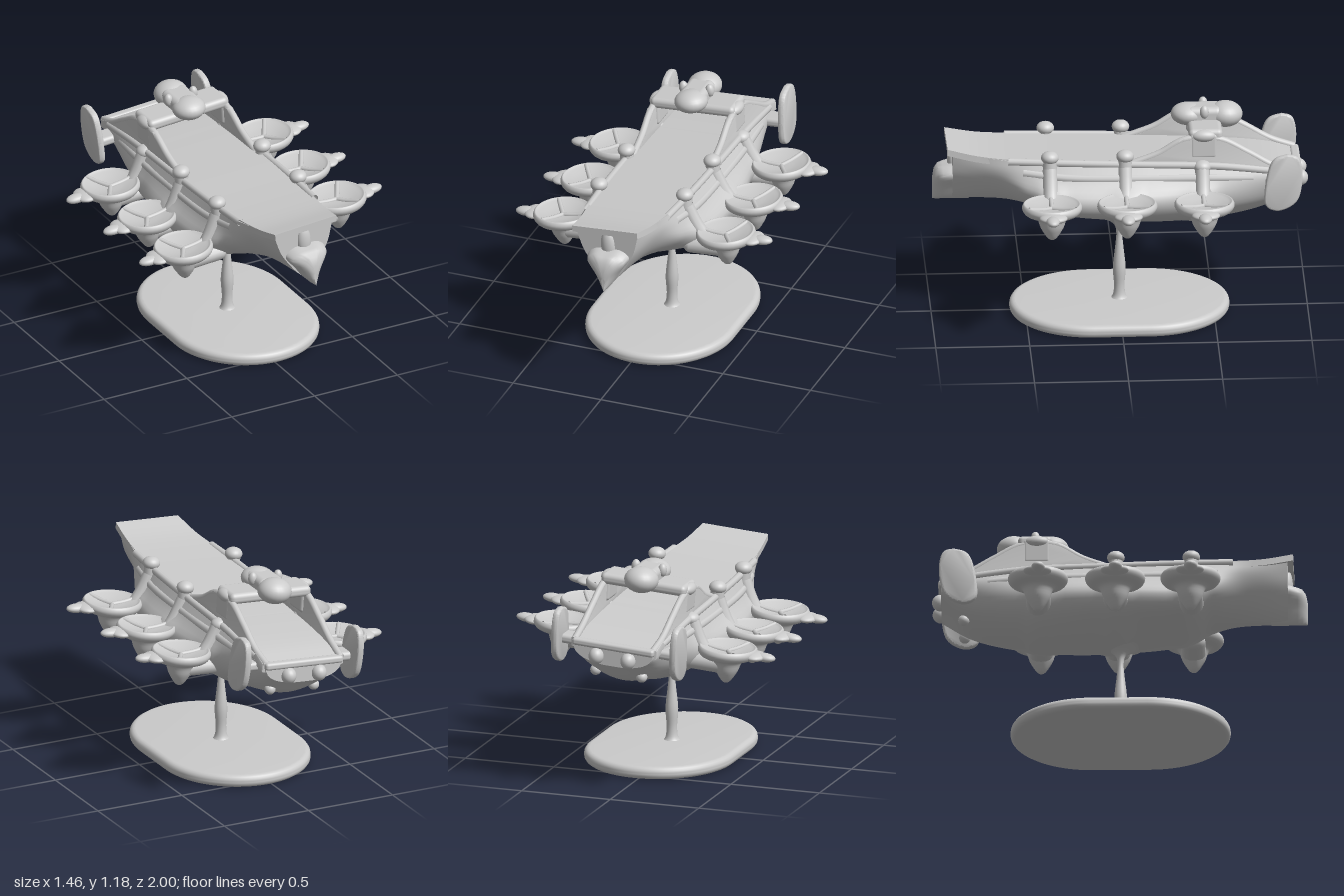
import * as THREE from 'three';
import { toCreasedNormals } from 'three/addons/utils/BufferGeometryUtils.js';
import { RoundedBoxGeometry } from 'three/addons/geometries/RoundedBoxGeometry.js';

const material = new THREE.MeshStandardMaterial({ color: 0xcccccc, side: THREE.DoubleSide });
const V = (x, y, z) => new THREE.Vector3(x, y, z);

function add(parent, name, geometry, x = 0, y = 0, z = 0) {
  const mesh = new THREE.Mesh(geometry, material);
  mesh.name = name;
  mesh.position.set(x, y, z);
  parent.add(mesh);
  return mesh;
}

const tube = (points, r, n = 24) =>
  new THREE.TubeGeometry(new THREE.CatmullRomCurve3(points.map(p => V(...p))), n, r, 10);
const ball = (r, sx = 1, sy = 1, sz = 1) => new THREE.SphereGeometry(r, 24, 16).scale(sx, sy, sz);
const lathe = (pts, n = 40) => new THREE.LatheGeometry(
  new THREE.SplineCurve(pts.map(p => new THREE.Vector2(...p))).getPoints(40)
    .map(p => new THREE.Vector2(Math.max(p.x, 0), p.y)), n);

// Skin over closed rings (each counter-clockwise seen from +z, ordered from low z to high z), with end caps
function loft(rings) {
  const n = rings[0].length, pos = [], index = [];
  rings.forEach(r => r.forEach(p => pos.push(p.x, p.y, p.z)));
  for (let i = 0; i < rings.length - 1; i++) for (let j = 0; j < n; j++) {
    const a = i * n + j, b = i * n + (j + 1) % n;
    index.push(a, b, a + n, b, b + n, a + n);
  }
  [0, rings.length - 1].forEach((k, end) => {
    const c = rings[k].reduce((s, p) => s.add(p), V(0, 0, 0)).divideScalar(n);
    const ci = pos.length / 3;
    pos.push(c.x, c.y, c.z);
    for (let j = 0; j < n; j++) {
      const a = k * n + j, b = k * n + (j + 1) % n;
      end ? index.push(ci, a, b) : index.push(ci, b, a);
    }
  });
  const g = new THREE.BufferGeometry();
  g.setAttribute('position', new THREE.Float32BufferAttribute(pos, 3));
  g.setIndex(index);
  return toCreasedNormals(g, 0.7);
}

const podZ = [0.38, -0.02, -0.43];

// Hull half-sections: z, then x,y pairs from keel to deck edge
const hullSections = [
  [-0.95, 0, .72, .10, .725, .18, .75, .215, .78, .22, .81, .22, .83],
  [-0.80, 0, .61, .10, .63, .20, .69, .24, .76, .25, .82, .23, .87],
  [-0.50, 0, .54, .16, .58, .27, .66, .30, .74, .28, .82, .24, .90],
  [-0.10, 0, .52, .20, .575, .33, .65, .36, .73, .30, .82, .25, .91],
  [0.30, 0, .575, .18, .61, .31, .66, .34, .73, .29, .82, .25, .91],
  [0.50, 0, .635, .12, .66, .22, .71, .27, .77, .26, .85, .24, .92],
  [0.65, 0, .655, .08, .69, .15, .75, .20, .82, .22, .88, .22, .94],
  [0.89, 0, .66, .05, .70, .10, .77, .14, .84, .16, .90, .175, .96],
];
function hullGeometry() {
  const columns = [0, 1, 2, 3, 4, 5].map(k => new THREE.CatmullRomCurve3(
    hullSections.map(s => V(s[1 + 2 * k], s[2 + 2 * k], s[0]))));
  const rings = [];
  for (let i = 0; i <= 80; i++) {
    const half = columns.map(c => c.getPoint(i / 80));
    // swollen bands around the hull at each pair of pods
    const z = half[0].z;
    const band = 1 + 0.05 * podZ.reduce((s, p) => s + Math.exp(-(((z - p) / 0.07) ** 4)), 0);
    half.forEach((p, k) => { if (k < 4) { p.x *= band; p.y = .8 + (p.y - .8) * band; } });
    const left = half.slice(1).reverse().map(p => V(-p.x, p.y, p.z));
    rings.push(new THREE.CatmullRomCurve3([...left, ...half]).getPoints(36));
  }
  return loft(rings);
}

// Deck sheet that curls up over the bow
function deckGeometry() {
  const path = new THREE.CatmullRomCurve3([
    V(.225, .83, -.95), V(.235, .87, -.75), V(.235, .905, -.4), V(.235, .92, 0),
    V(.23, .935, .5), V(.205, .955, .75), V(.185, .99, .92)]);
  return loft(path.getPoints(40).map(p => [
    V(-p.x, p.y - .035, p.z), V(p.x, p.y - .035, p.z), V(p.x, p.y, p.z), V(-p.x, p.y, p.z)]));
}

// Pointed beak: one shield outline narrowing towards the bow (z, width scale, height scale)
function prowGeometry() {
  const shield = [[0, .655], [.07, .74], [.115, .81], [.075, .845], [0, .85],
    [-.075, .845], [-.115, .81], [-.07, .74]].map(p => V(p[0], p[1], 0));
  const ring = new THREE.CatmullRomCurve3(shield, true).getPoints(40).slice(0, -1);
  const steps = [[.8, 1.1, 1.1], [.9, 1, 1.05], [.94, .9, 1], [.965, .7, .97], [.985, .42, .85], [.995, .12, .6]];
  return loft(steps.map(([z, w, h]) => ring.map(p => V(p.x * w, .66 + (p.y - .66) * h, z))));
}

function bevelled(shape, depth, bevel) {
  return toCreasedNormals(new THREE.ExtrudeGeometry(shape, {
    depth, bevelEnabled: true, bevelThickness: bevel, bevelSize: bevel, bevelSegments: 4, curveSegments: 24,
  }), 0.7);
}
const outline = pts => new THREE.Shape(pts.map(p => new THREE.Vector2(...p)));

// Round dish pod with a cone underneath, spokes and an outer fin
function createPod() {
  const pod = new THREE.Group();
  pod.name = 'pod';
  add(pod, 'podDish', lathe([[0, -.17], [.025, -.155], [.06, -.1], [.085, -.04], [.14, -.02], [.16, .01],
    [.15, .035], [.13, .027], [.07, .012], [0, .005]]));
  for (const a of [Math.PI, Math.PI / 3, -Math.PI / 3])
    add(pod, 'podSpoke', tube([[0, .006, 0], [.07 * Math.cos(a), .012, .07 * Math.sin(a)],
      [.145 * Math.cos(a), .027, .145 * Math.sin(a)]], .013, 8));
  add(pod, 'podFin', ball(.06, 1, .4, 1.25), .155, .004, 0);
  add(pod, 'podFinTip', ball(.06, 1, .4, .6), .207, .004, .005);
  return pod;
}

// Everything that occurs once on each flank, built for +x
function createSide() {
  const side = new THREE.Group();
  for (const z of podZ) {
    const pod = createPod();
    pod.position.set(.465, .738, z);
    side.add(pod);
    const top = z < -.3 ? .89 : .955;
    add(side, 'podArm', new THREE.CapsuleGeometry(.052, .16, 6, 16).rotateZ(Math.PI / 2).scale(1, 1, 1.25), .35, .672, z);
    add(side, 'podBracket', tube([[.25, .89, z], [.275, .83, z], [.3, .78, z], [.325, .74, z]], .04));
    add(side, 'post', new THREE.CylinderGeometry(.036, .044, .16, 16), .245, top - .08, z);
    add(side, 'postCap', ball(.047, 1, .75, 1), .245, top, z);
  }
  add(side, 'upperRail', tube([[.225, .93, .6], [.24, .92, .3], [.245, .905, -.1], [.245, .89, -.5], [.235, .85, -.85]], .02, 40));
  add(side, 'lowerRail', tube([[.235, .87, .52], [.262, .845, .3], [.27, .835, -.1], [.262, .83, -.45], [.24, .82, -.7]], .025, 40));

  // sloping side wall carrying the bridge, with a thick rim
  const wall = outline([[-.06, .90], [-.2, .955], [-.33, 1.04], [-.52, 1.04], [-.66, .965], [-.8, .885],
    [-.93, .835], [-.93, .80], [-.5, .86]]);
  add(side, 'sideWall', bevelled(wall, .02, .008).rotateY(-Math.PI / 2), .235);
  add(side, 'wallRim', tube([[.225, .905, -.05], [.225, .96, -.2], [.225, 1.035, -.34], [.225, 1.035, -.52],
    [.225, .96, -.67], [.225, .88, -.81], [.22, .835, -.94]], .019, 48));
  add(side, 'bridgeLeg', new RoundedBoxGeometry(.05, .14, .15, 3, .02), .22, 1.0, -.44);
  add(side, 'bridgeEnd', ball(.042, .9, .8, 1.6), .225, 1.055, -.44);

  // stern paddle on its strut
  const paddle = new THREE.Shape();
  paddle.moveTo(-.88, .965);
  paddle.splineThru([[-.93, .945], [-.945, .85], [-.92, .73], [-.84, .68], [-.775, .70],
    [-.77, .78], [-.79, .89], [-.82, .945], [-.88, .965]].map(p => new THREE.Vector2(...p)));
  add(side, 'rudder', bevelled(paddle, .012, .013).rotateY(-Math.PI / 2), .341);
  add(side, 'rudderStrut', new RoundedBoxGeometry(.15, .05, .11, 3, .02), .27, .8, -.82);
  add(side, 'sternBulb', ball(.045, .9, 1, 1), .09, .765, -.955);
  add(side, 'sternKnob', ball(.03), .13, .65, -.83);
  return side;
}

export function createModel() {
  const model = new THREE.Group();
  model.name = 'airshipOnStand';

  // Stand
  const foot = new THREE.Shape();
  foot.absellipse(0, .15, .377, .405, 0, Math.PI);
  foot.absellipse(0, -.15, .377, .405, Math.PI, Math.PI * 2);
  add(model, 'base', bevelled(foot, .008, .03).rotateX(-Math.PI / 2), .02, .03, 0);
  add(model, 'stem', lathe([[.06, .05], [.035, .08], [.028, .14], [.034, .24], [.022, .36], [.016, .44],
    [.03, .49], [.08, .53], [.17, .58]], 24), .015);

  // Ship, leaning slightly to its right
  const ship = new THREE.Group();
  ship.name = 'ship';
  ship.position.set(.01, .7, 0);
  ship.rotation.z = .07;
  model.add(ship);
  const body = new THREE.Group();
  body.name = 'shipBody';
  body.position.y = -.7;
  ship.add(body);

  add(body, 'hull', hullGeometry());
  add(body, 'deck', deckGeometry());
  add(body, 'prow', prowGeometry());
  add(body, 'bowRidge', ball(.05, .8, 1.8, .6), 0, .88, .885);

  const left = createSide(), right = createSide();
  left.name = 'leftSide';
  right.name = 'rightSide';
  right.scale.x = -1;
  body.add(left, right);

  // Bridge across the walls with its turret
  add(body, 'bridge', new RoundedBoxGeometry(.48, .06, .18, 4, .025), 0, 1.06, -.45);
  add(body, 'turretFront', ball(.09, 1, .65, 1), 0, 1.105, -.365);
  add(body, 'turretNeck', new RoundedBoxGeometry(.15, .11, .2, 4, .035), 0, 1.1, -.45);
  add(body, 'turretRear', ball(.092, 1, .75, 1), 0, 1.1, -.565);
  for (const s of [-1, 1]) add(body, 'turretKnob', ball(.024, 1, 1.5, 1), s * .075, 1.135, -.45);
  add(body, 'sternSill', new RoundedBoxGeometry(.46, .04, .05, 3, .015), 0, .825, -.94);
  return model;
}
